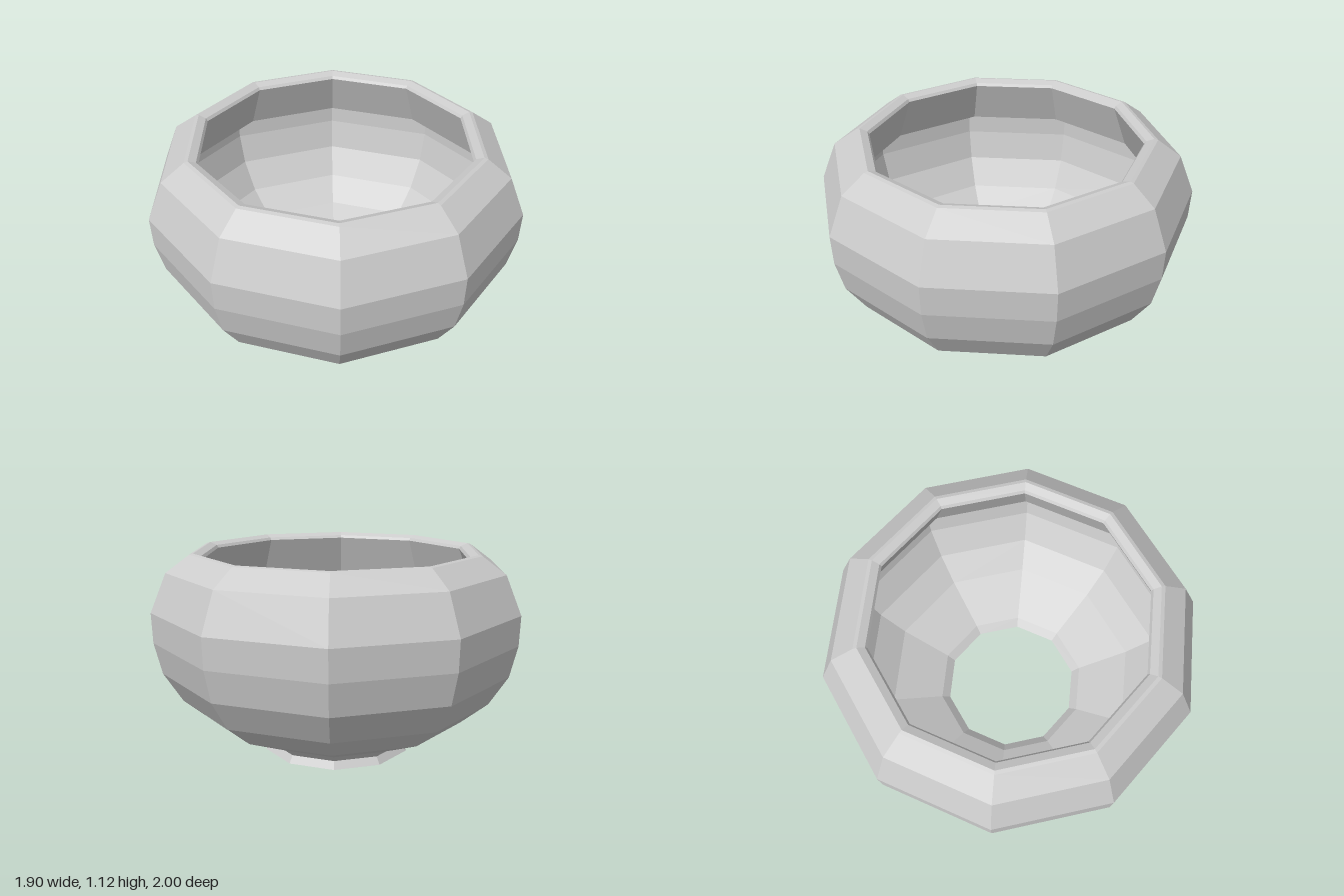
import * as THREE from 'three';

const SIDES = 10;

export function createModel() {
  const group = new THREE.Group();
  group.name = 'bowl';
  const material = new THREE.MeshStandardMaterial({
    color: 0xcccccc, flatShading: true, side: THREE.DoubleSide,
  });

  // Spins a [radius, height] profile into a ten-sided ring with corners at +z and -z
  function ring(name, profile) {
    const points = profile.map(([r, y]) => new THREE.Vector2(r, y));
    const mesh = new THREE.Mesh(new THREE.LatheGeometry(points, SIDES), material);
    mesh.name = name;
    group.add(mesh);
  }

  // Flared, open foot
  ring('foot', [[0.41, 0], [0.385, 0.04]]);

  // Thin rounded body, open at the bottom
  ring('body', [
    [0.385, 0.04], [0.43, 0.08], [0.71, 0.205], [0.855, 0.325], [0.955, 0.485],
    [0.995, 0.655], [1, 0.815], [0.915, 1.02], [0.79, 1.11], [0.77, 1.115],
  ]);

  // Bevelled rim with a lip turned down inside the mouth
  ring('rim', [[0.77, 1.115], [0.73, 1.1], [0.72, 1.085], [0.82, 0.84]]);

  return group;
}
